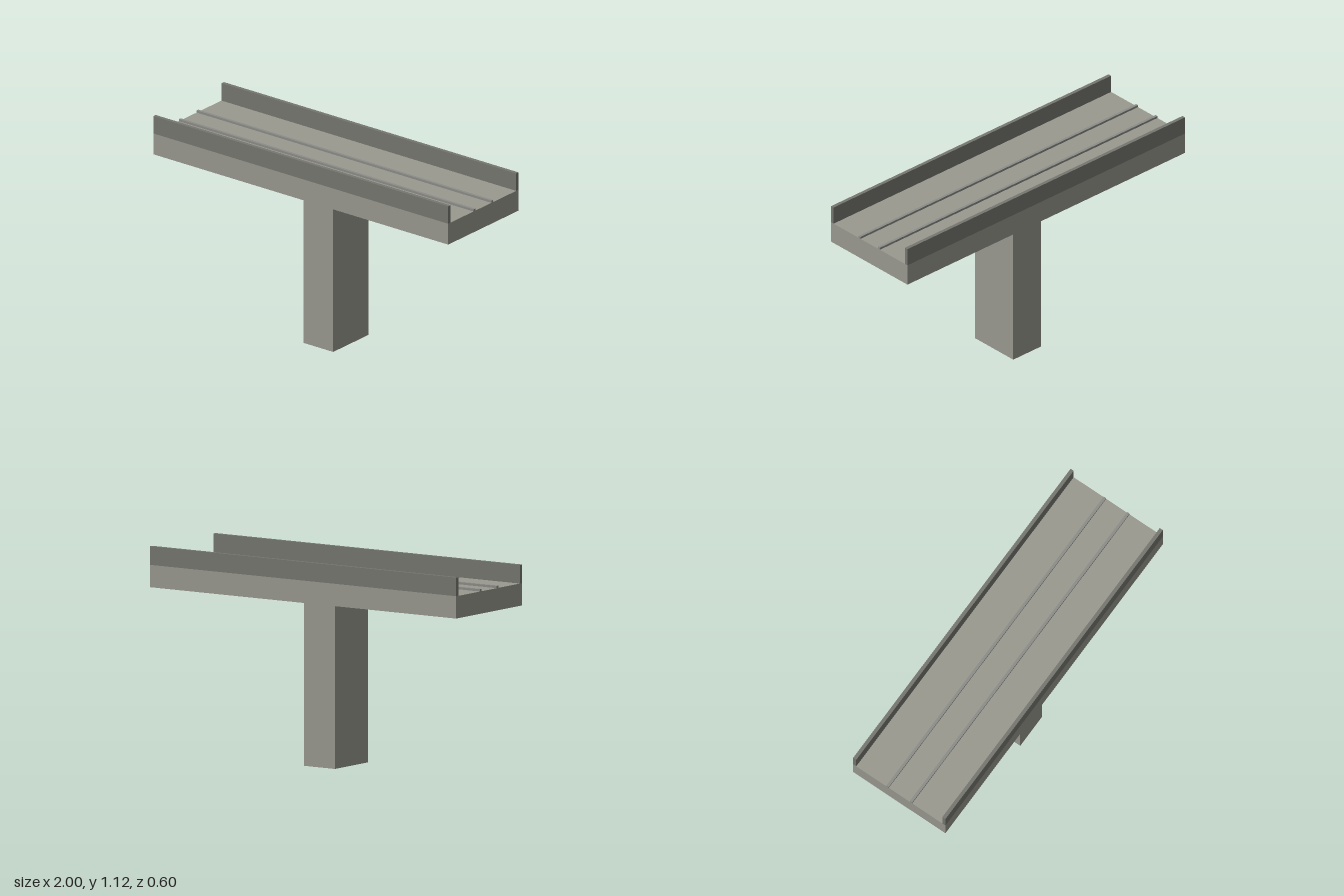
import * as THREE from 'three';

export function createModel() {
  const model = new THREE.Group();
  model.name = 'viaductSegment';

  const material = (name, color) => {
    const m = new THREE.MeshStandardMaterial({ color });
    m.name = name;
    return m;
  };
  const concrete = material('concrete', 0x999990);
  const darkConcrete = material('dark concrete', 0x777770);
  const steel = material('rail steel', 0x8c8c88);

  // Box resting on height y, centred on x = 0
  const addBox = (name, mat, [w, h, d], y, z = 0) => {
    const mesh = new THREE.Mesh(new THREE.BoxGeometry(w, h, d), mat);
    mesh.name = name;
    mesh.position.set(0, y + h / 2, z);
    model.add(mesh);
  };

  // Supporting pier and deck
  addBox('pier', concrete, [0.2, 0.9, 0.3], 0);
  addBox('deck', concrete, [2, 0.12, 0.6], 0.9);

  // Parapets and rails, mirrored front to back
  for (const [side, s] of [['front', 1], ['back', -1]]) {
    addBox(side + 'Parapet', darkConcrete, [2, 0.1, 0.02], 1.02, s * 0.29);
    addBox(side + 'Rail', steel, [2, 0.012, 0.015], 1.02, s * 0.076);
  }

  return model;
}
